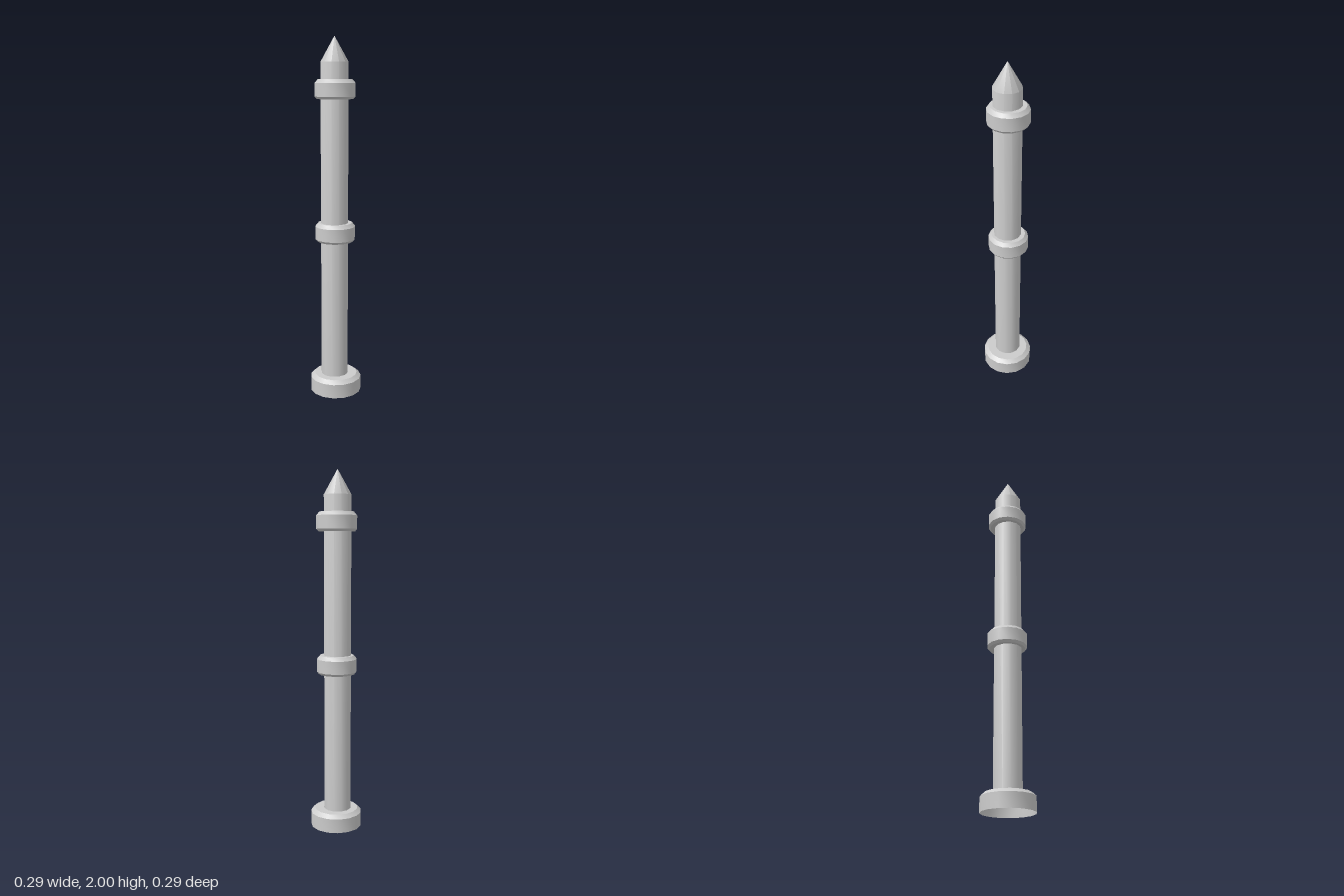
import * as THREE from 'three';
import { toCreasedNormals } from 'three/addons/utils/BufferGeometryUtils.js';

const material = new THREE.MeshStandardMaterial({ color: 0xcccccc, side: THREE.DoubleSide });

// Turned part: profile of [radius, height] from bottom to top, first corner on +x
function turned(name, profile, sides, x, y, z, start = Math.PI / 2) {
  const points = profile.map(([r, h]) => new THREE.Vector2(r, h));
  const geometry = new THREE.LatheGeometry(points, sides, start);
  const mesh = new THREE.Mesh(toCreasedNormals(geometry, 0.65), material);
  mesh.name = name;
  mesh.position.set(x, y, z);
  return mesh;
}

export function createModel() {
  const group = new THREE.Group();
  group.name = 'post';

  // Foot: a bevelled cup, open underneath
  group.add(turned('foot', [
    [0.145, 0], [0.145, 0.08], [0.122, 0.1], [0.07, 0.1],
  ], 15, -0.002, 0, 0));

  // Shaft with pointed tip, its closed lower end reaching into the foot
  group.add(turned('shaft', [
    [0, 0.05], [0.077, 0.05], [0.077, 1.865], [0, 2],
  ], 12, -0.006, 0, -0.006));

  // Two bevelled collars
  const collar = [
    [0.07, 0], [0.101, 0], [0.112, 0.013], [0.112, 0.085], [0.095, 0.105], [0.07, 0.105],
  ];
  [['middleCollar', 0.885], ['upperCollar', 1.67]].forEach(([name, y]) => {
    group.add(turned(name, collar, 14, 0, y, -0.006, Math.PI));
  });

  return group;
}
